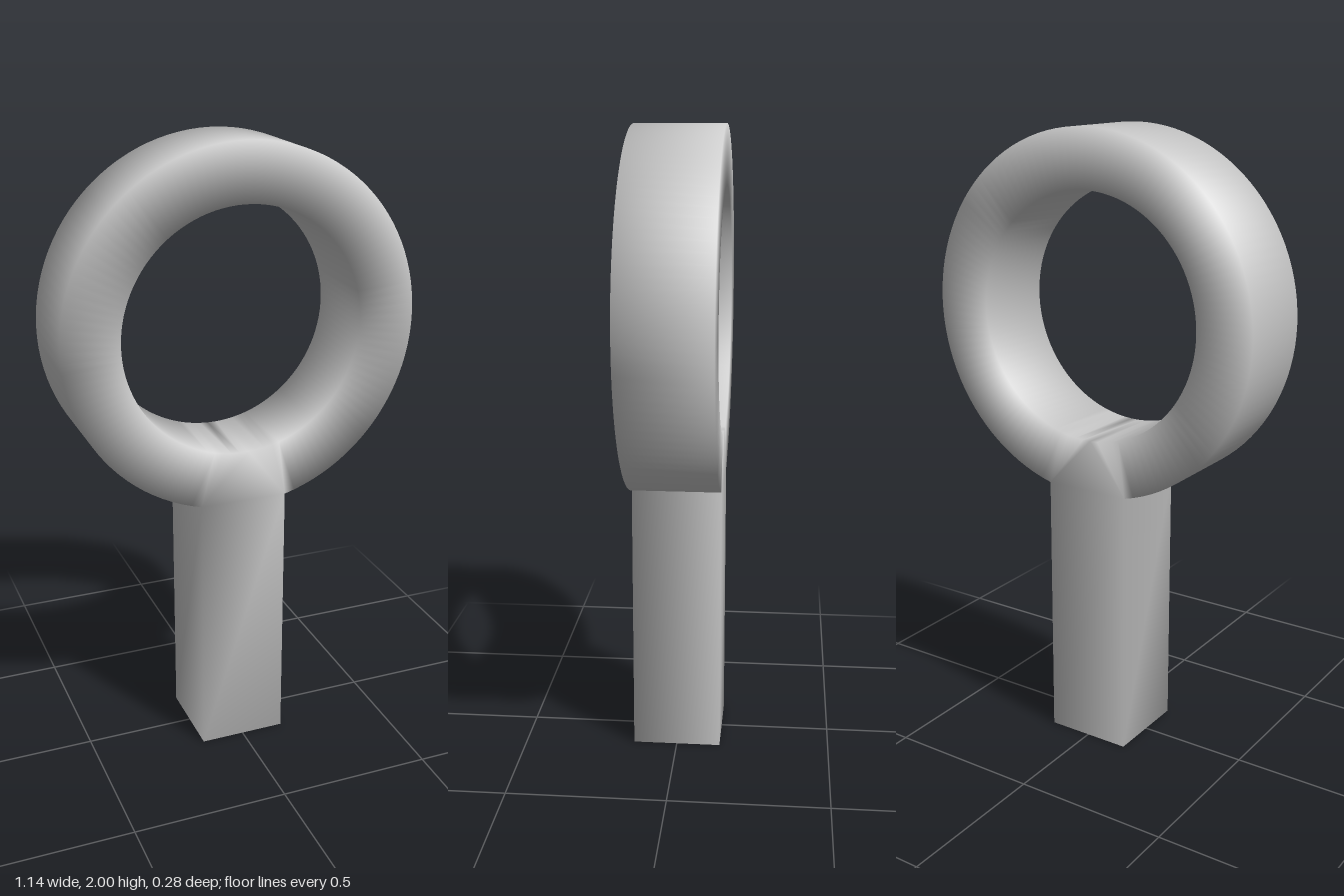
import * as THREE from 'three';
import { mergeVertices } from 'three/addons/utils/BufferGeometryUtils.js';

const R = 0.57, r = 0.387, CY = 1.43; // ring outer and inner radius, centre height
const W = 0.142; // half width of the square stem and half depth of the ring
const GAP = Math.asin(W / R); // half angle of the ring where the stem joins

export function createModel() {
  const pos = [];
  const tri = (a, b, c) => {
    const area = new THREE.Triangle(a, b, c).getArea();
    if (area > 1e-8) for (const p of [a, b, c]) pos.push(p.x, p.y, p.z);
  };
  const quad = (a, b, c, d) => { tri(a, b, c); tri(a, c, d); };
  const point = (radius, angle, z) =>
    new THREE.Vector3(radius * Math.sin(angle), CY - radius * Math.cos(angle), z);

  // One slice of the ring: inner angles i0..i1, outer angles o0..o1
  const slice = (i0, i1, o0, o1, closed) => {
    const of0 = point(R, o0, W), of1 = point(R, o1, W);
    const ob0 = point(R, o0, -W), ob1 = point(R, o1, -W);
    const if0 = point(r, i0, W), if1 = point(r, i1, W);
    const ib0 = point(r, i0, -W), ib1 = point(r, i1, -W);
    quad(of0, of1, if1, if0); // front
    quad(ob1, ob0, ib0, ib1); // back
    quad(if0, if1, ib1, ib0); // hole wall
    if (closed) quad(ob0, ob1, of1, of0); // rim
  };

  // Ring, all around except the joint
  const N = 96, step = (2 * Math.PI - 2 * GAP) / N;
  for (let i = 0; i < N; i++) {
    const a = GAP + i * step;
    slice(a, a + step, a, a + step, true);
  }

  // Joint: the hole stays round, the outside opens into the stem
  const K = 7;
  const corner = (i) => (i < K / 2 ? -GAP : GAP);
  for (let i = 0; i < K; i++) {
    const a0 = -GAP + (2 * GAP * i) / K, a1 = -GAP + (2 * GAP * (i + 1)) / K;
    slice(a0, a1, corner(i), corner(i + 1), false);
  }

  // Square stem down to the ground
  const top = [[-GAP, W], [GAP, W], [GAP, -W], [-GAP, -W]].map(([a, z]) => point(R, a, z));
  const foot = top.map((p) => new THREE.Vector3(p.x, 0, p.z));
  for (let i = 0; i < 4; i++) {
    const j = (i + 1) % 4;
    quad(foot[i], foot[j], top[j], top[i]);
  }
  quad(foot[3], foot[2], foot[1], foot[0]);

  // Weld into one skin with soft normals
  let geometry = new THREE.BufferGeometry();
  geometry.setAttribute('position', new THREE.Float32BufferAttribute(pos, 3));
  geometry = mergeVertices(geometry, 1e-4);
  geometry.computeVertexNormals();

  const mesh = new THREE.Mesh(geometry, new THREE.MeshStandardMaterial({ color: 0xcccccc }));
  mesh.name = 'ringWithStem';
  const group = new THREE.Group();
  group.name = 'eyePeg';
  group.add(mesh);
  return group;
}
